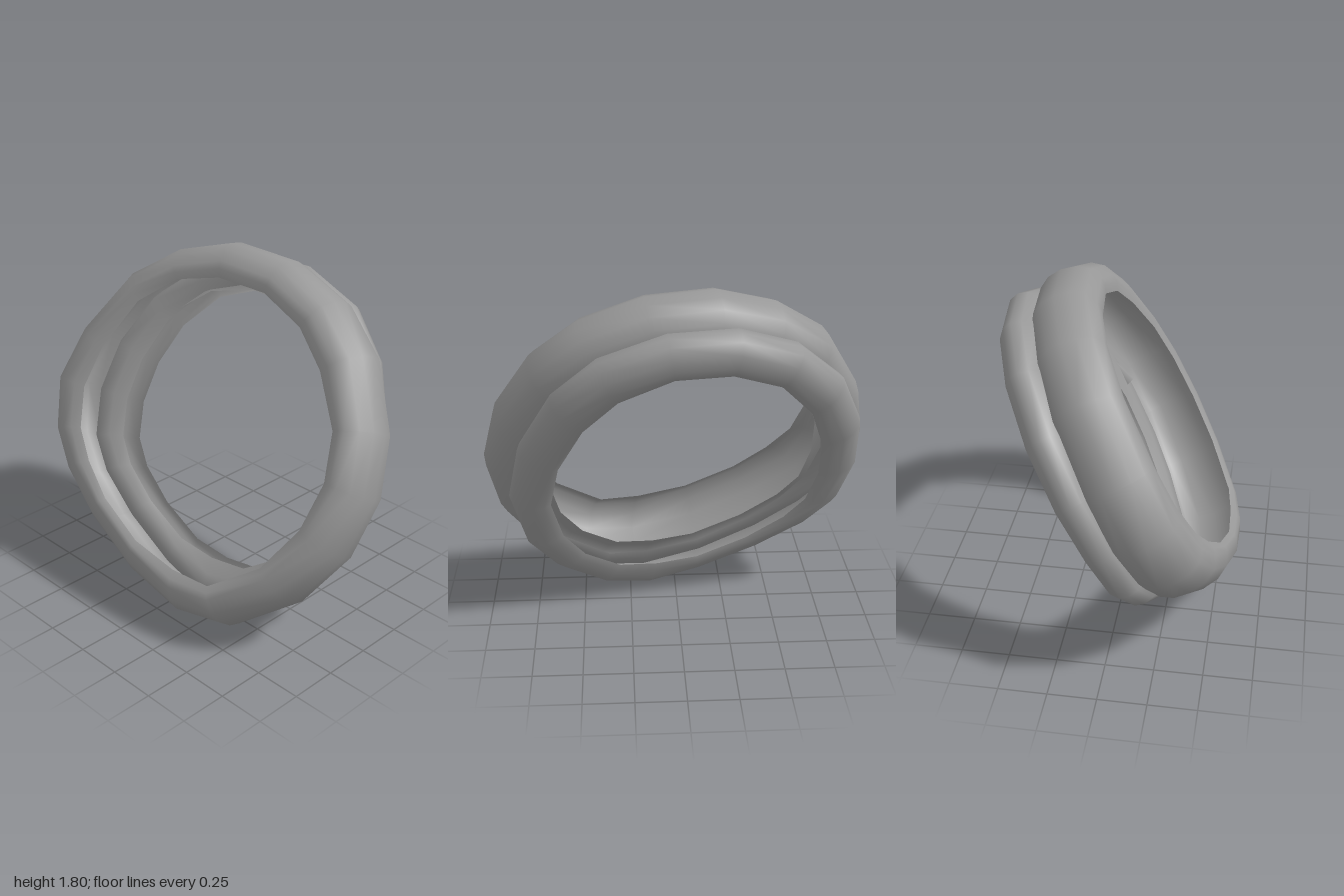
import * as THREE from 'three';

const material = new THREE.MeshStandardMaterial({ color: 0x989898, side: THREE.DoubleSide });

// Thin ring-shaped channel around local z, open toward its inside.
// outline: [angle in degrees, centreline radius, inner lip radius]
// profile: [offset, depth] from front lip to rear lip; offset 1 is the outer
// crest, 0 the centreline and -1 the inner lip.
// widen and sink: extra depth factor and extra depth toward the bottom.
function makeChannel(name, outline, thickness, widen, sink, profile) {
  const n = outline.length, m = profile.length, pos = [], index = [];
  for (const [deg, r, lip] of outline) {
    const a = THREE.MathUtils.degToRad(deg);
    const low = Math.max(0, -Math.sin(a));
    for (const [offset, depth] of profile) {
      const R = r + offset * (offset > 0 ? thickness : r - lip);
      pos.push(R * Math.cos(a), R * Math.sin(a), depth * (1 + widen * low) - sink * low);
    }
  }
  for (let i = 0; i < n; i++) {
    for (let j = 0; j < m - 1; j++) {
      const a = i * m + j, b = ((i + 1) % n) * m + j;
      index.push(a, a + 1, b + 1, a, b + 1, b);
    }
  }
  const geometry = new THREE.BufferGeometry();
  geometry.setAttribute('position', new THREE.Float32BufferAttribute(pos, 3));
  geometry.setIndex(index);
  geometry.computeVertexNormals();
  const mesh = new THREE.Mesh(geometry, material);
  mesh.name = name;
  return mesh;
}

export function createModel() {
  const group = new THREE.Group();
  group.name = 'doubleRing';

  // Leaning frame shared by both rings
  const tilted = new THREE.Group();
  tilted.name = 'tiltedRings';
  const axis = new THREE.Vector3(0.142, 0.535, 1).normalize();
  const across = new THREE.Vector3(1, 0, -0.142).normalize();
  const up = axis.clone().cross(across);
  tilted.quaternion.setFromRotationMatrix(new THREE.Matrix4().makeBasis(across, up, axis));
  tilted.position.set(0.025, 0.98, 0.25);
  group.add(tilted);

  // Wide front ring, flatter at its lower right
  tilted.add(makeChannel('frontRing', [
    [-165, 0.835, 0.73], [-150, 0.765, 0.68], [-130, 0.7, 0.645], [-103, 0.71, 0.655],
    [-80, 0.8, 0.71], [-64, 0.855, 0.785], [-41, 0.858, 0.795], [-20.5, 0.87, 0.797],
    [-2, 0.875, 0.8], [16, 0.862, 0.793], [38, 0.86, 0.767], [56.5, 0.86, 0.774],
    [77, 0.858, 0.78], [98, 0.868, 0.784], [117, 0.869, 0.8], [136, 0.875, 0.79],
    [160, 0.868, 0.76], [178, 0.885, 0.76],
  ], 0.13, 0.2, 0, [
    [-1, -0.005], [-0.5, 0.01], [0, 0.01], [0.5, -0.015], [0.85, -0.075], [1, -0.155],
    [0.95, -0.23], [0.7, -0.29], [0.25, -0.33], [-0.4, -0.34], [-1, -0.33],
  ]));

  // Narrower ring behind it
  tilted.add(makeChannel('rearRing', [
    [-164, 0.805, 0.7], [-150, 0.745, 0.66], [-128, 0.667, 0.61], [-101, 0.68, 0.62],
    [-81, 0.768, 0.65], [-64, 0.807, 0.7], [-45, 0.81, 0.71], [-28, 0.805, 0.705],
    [-6, 0.785, 0.695], [17, 0.775, 0.69], [41, 0.81, 0.725], [60, 0.85, 0.77],
    [81, 0.87, 0.805], [101, 0.885, 0.815], [120, 0.885, 0.81], [140, 0.865, 0.77],
    [160, 0.84, 0.73], [179, 0.82, 0.71],
  ], 0.115, 0, 0.035, [
    [-1, -0.335], [-0.3, -0.305], [0.4, -0.3], [0.85, -0.34], [1, -0.39], [0.9, -0.44],
    [0.5, -0.485], [0, -0.505], [-0.6, -0.505], [-1, -0.49],
  ]));

  // Small pointed fold in the inner groove
  const fold = new THREE.Mesh(new THREE.ConeGeometry(0.04, 0.17, 4), material);
  fold.name = 'innerFold';
  fold.position.set(0.785, 0.05, -0.31);
  tilted.add(fold);

  return group;
}
